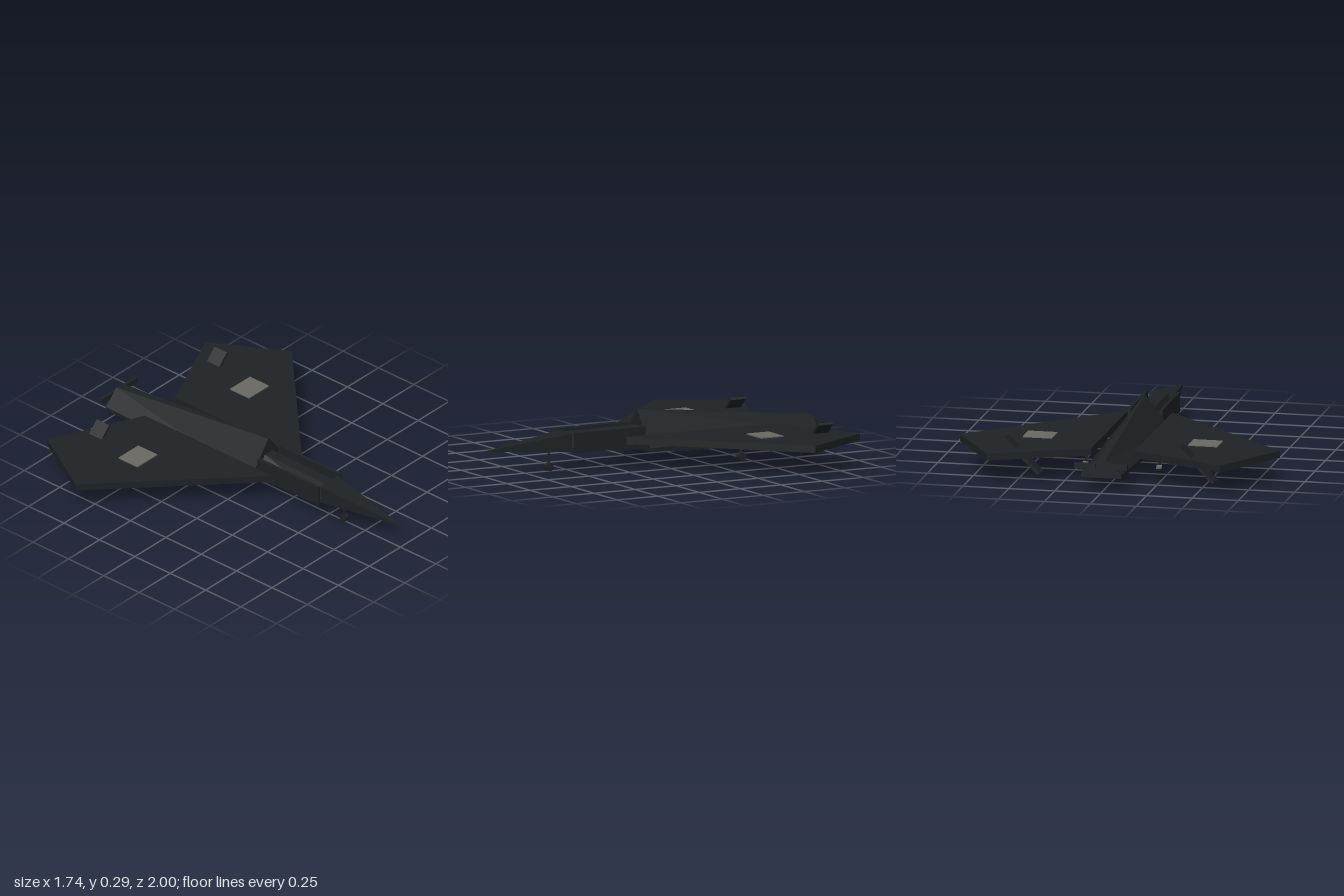
import * as THREE from 'three';

const dark = new THREE.MeshStandardMaterial({ color: 0x1e2224, flatShading: true });
const panelGrey = new THREE.MeshStandardMaterial({ color: 0x6b6862 });

// Joins [x, y] outlines (counter-clockwise seen from the front), ordered back to front.
function loft(sections) {
  const pos = [];
  const tri = (...pts) => pts.forEach((p) => pos.push(...p));
  const rings = sections.map(({ z, pts }) => pts.map(([x, y]) => [x, y, z]));
  const n = rings[0].length;
  for (let s = 0; s < rings.length - 1; s++) {
    for (let i = 0; i < n; i++) {
      const j = (i + 1) % n;
      const a = rings[s], b = rings[s + 1];
      tri(a[i], a[j], b[j]);
      tri(a[i], b[j], b[i]);
    }
  }
  const back = rings[0], front = rings[rings.length - 1];
  for (let i = 1; i < n - 1; i++) {
    tri(back[0], back[i + 1], back[i]);
    tri(front[0], front[i], front[i + 1]);
  }
  const geo = new THREE.BufferGeometry();
  geo.setAttribute('position', new THREE.Float32BufferAttribute(pos, 3));
  geo.computeVertexNormals();
  return geo;
}

// Hull outline: flat floor, short upright sides, slopes up to a narrow ridge.
const hull = (half, bottom, shoulder, ridge, top) => [
  [-half, bottom], [half, bottom], [half, shoulder],
  [ridge, top], [-ridge, top], [-half, shoulder],
];
const rect = (half, bottom, top) => [[-half, bottom], [half, bottom], [half, top], [-half, top]];

export function createModel() {
  const group = new THREE.Group();
  const add = (name, geo, x = 0, y = 0, z = 0, material = dark) => {
    const mesh = new THREE.Mesh(geo, material);
    mesh.name = name;
    mesh.position.set(x, y, z);
    group.add(mesh);
    return mesh;
  };
  const box = (name, w, h, d, x, y, z, material) =>
    add(name, new THREE.BoxGeometry(w, h, d), x, y, z, material);

  // Body
  add('fuselage', loft([
    { z: -0.985, pts: hull(0.11, 0.08, 0.1, 0.025, 0.18) },
    { z: 0.07, pts: hull(0.15, 0.08, 0.1, 0.003, 0.293) },
  ]));
  add('cockpitSection', loft([
    { z: 0.07, pts: hull(0.105, 0.09, 0.12, 0.03, 0.205) },
    { z: 0.5, pts: hull(0.07, 0.105, 0.125, 0.03, 0.2) },
  ]));
  add('noseCone', loft([
    { z: 0.5, pts: rect(0.072, 0.105, 0.203) },
    { z: 1, pts: rect(0.001, 0.134, 0.136) },
  ]));

  // Wing outline is drawn in (x, -z) and extruded upward.
  const wingShape = new THREE.Shape([
    [0.12, -0.2], [0.872, 0.53], [0.637, 0.935], [0.12, 0.7],
  ].map(([x, y]) => new THREE.Vector2(x, y)));
  const mirroredShape = new THREE.Shape(
    wingShape.getPoints().map((p) => new THREE.Vector2(-p.x, p.y)).reverse());

  for (const [side, s] of [['left', 1], ['right', -1]]) {
    const wing = new THREE.ExtrudeGeometry(s > 0 ? wingShape : mirroredShape,
      { depth: 0.038, bevelEnabled: false });
    wing.rotateX(-Math.PI / 2);
    add(side + 'Wing', wing, 0, 0.131, 0);

    box(side + 'WingPanel', 0.16, 0.01, 0.135, s * 0.45, 0.17, -0.46, panelGrey);
    box(side + 'IntakePanel', 0.016, 0.11, 0.43, s * 0.087, 0.155, 0.285);
    box(side + 'TailFlap', 0.115, 0.03, 0.016, s * 0.0875, 0.146, -0.992);
    box(side + 'BellyPod', 0.085, 0.02, 0.235, s * 0.072, 0.073, -0.215);

    // Both fins lean the same way through the wings.
    const fin = box(side + 'Fin', 0.265, 0.015, 0.088, s * 0.475, 0.132, -0.762);
    fin.rotation.z = Math.PI / 4;
  }

  // Landing gear
  const wheel = new THREE.CylinderGeometry(0.022, 0.022, 0.03, 12).rotateZ(Math.PI / 2);
  const strut = new THREE.CylinderGeometry(0.007, 0.007, 0.07, 8);
  for (const [name, x, z] of [['nose', 0, 0.605], ['left', 0.2, -0.455], ['right', -0.2, -0.455]]) {
    add(name + 'Wheel', wheel, x, 0.022, z);
    add(name + 'Strut', strut, x, name === 'nose' ? 0.07 : 0.057, z);
  }
  return group;
}
